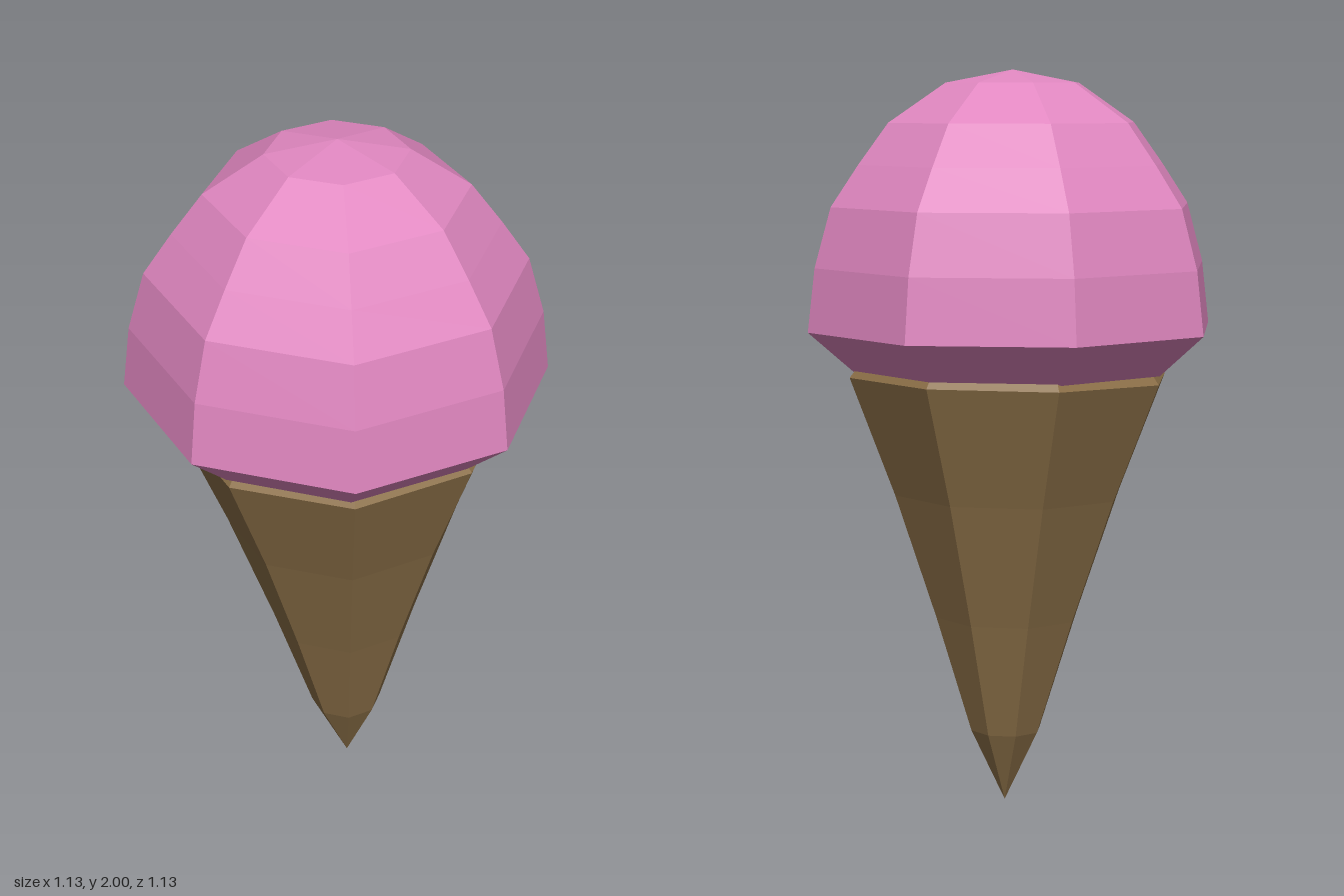
import * as THREE from 'three';

// Eight-sided faceted solid turned from [radius, height] pairs, bottom to top
function turned(name, profile, color) {
  const points = profile.map(([r, y]) => new THREE.Vector2(r, y));
  const material = new THREE.MeshStandardMaterial({ color, flatShading: true });
  const mesh = new THREE.Mesh(new THREE.LatheGeometry(points, 8), material);
  mesh.name = name;
  return mesh;
}

export function createModel() {
  const model = new THREE.Group();
  model.name = 'iceCream';

  // Wafer cone: slightly bulging sides and a narrow bevelled rim, leaning a little
  const cone = turned('cone', [
    [0, 0], [0.098, 0.2], [0.2, 0.52], [0.318, 0.86],
    [0.445, 1.18], [0.43, 1.2], [0, 1.2],
  ], 0x8c7048);
  cone.position.set(0.005, 0, -0.038);
  cone.rotation.set(0.02, 0, 0.004);
  model.add(cone);

  // Scoop: tapered underside, then a faceted dome
  model.add(turned('scoop', [
    [0, 1.2], [0.44, 1.2], [0.565, 1.31], [0.545, 1.48], [0.5, 1.64],
    [0.425, 1.75], [0.343, 1.86], [0.186, 1.965], [0, 2],
  ], 0xe087c0));

  return model;
}
